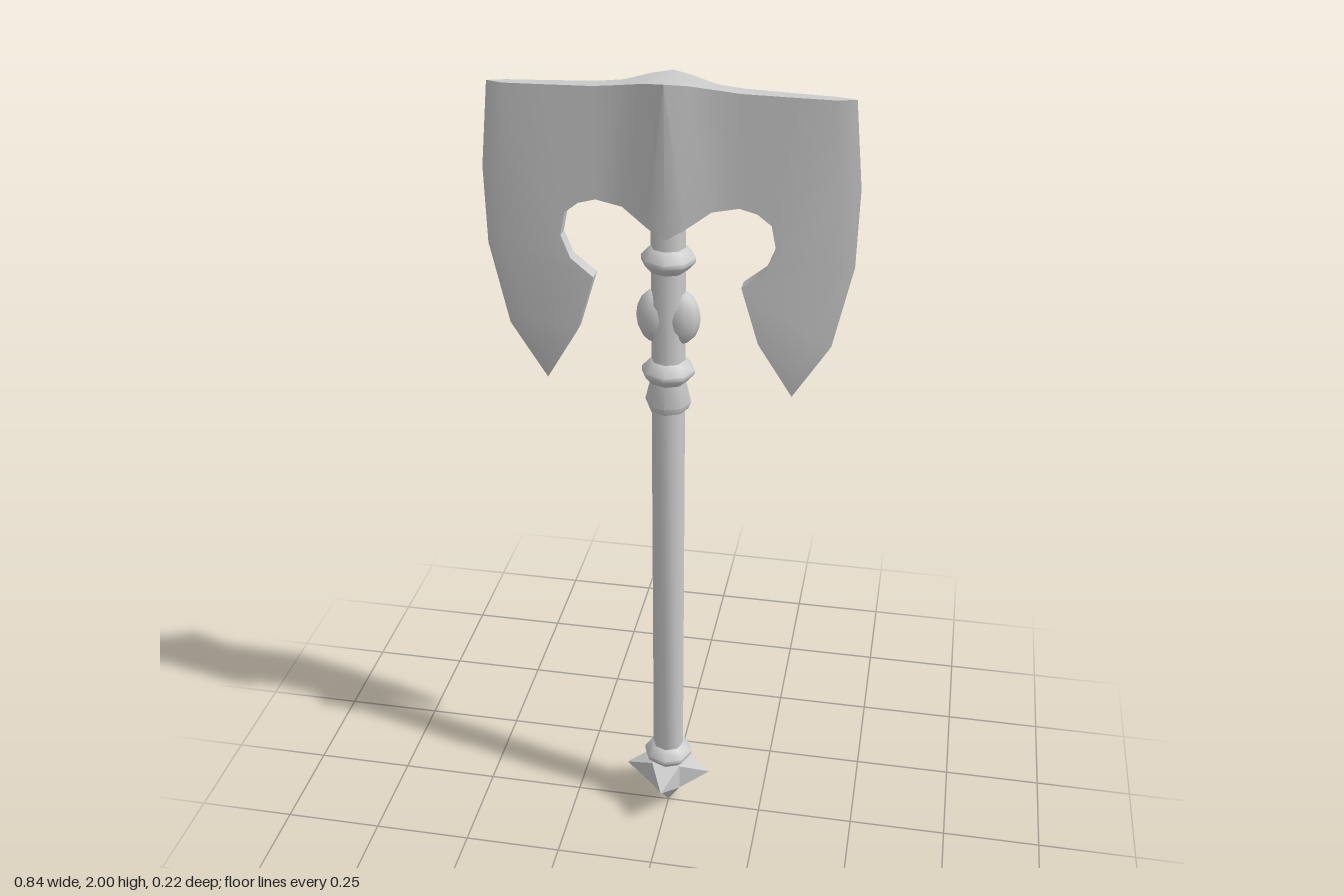
import * as THREE from 'three';
import { toCreasedNormals } from 'three/addons/utils/BufferGeometryUtils.js';

const material = new THREE.MeshStandardMaterial({ color: 0xcccccc });
const spikeMaterial = new THREE.MeshStandardMaterial({ color: 0xcccccc, flatShading: true });

function part(name, geometry, mat = material) {
  const mesh = new THREE.Mesh(geometry, mat);
  mesh.name = name;
  return mesh;
}

// Eight-sided turned part from [radius, height] pairs, bottom to top
function turned(name, profile) {
  const points = profile.map(([r, y]) => new THREE.Vector2(r, y));
  return part(name, toCreasedNormals(new THREE.LatheGeometry(points, 8), 0.9));
}

// Half thickness of the blade: thick central ridge, thin wings, pointed tips
function halfThickness(x, y) {
  const { lerp } = THREE.MathUtils;
  if (y < 1.3) return 0;
  if (x < 0.1) return lerp(lerp(0.044, 0.058, (y - 1.65) / 0.35), 0.022, x / 0.1);
  return lerp(0.022, 0.013, Math.min(1, (x - 0.1) / 0.26));
}

function bladeGeometry() {
  // Stations from the ridge round to the tip: [outer point, inner point]
  const rows = [
    [[0, 2], [0, 1.65]],
    [[0.045, 1.995], [0.04, 1.672]],
    [[0.1, 1.984], [0.1, 1.714]],
    [[0.16, 1.978], [0.16, 1.726]],
    [[0.27, 1.975], [0.2, 1.715]],
    [[0.36, 1.973], [0.232, 1.69]],
    [[0.375, 1.78], [0.243, 1.636]],
    [[0.372, 1.6], [0.222, 1.583]],
    [[0.335, 1.43], [0.169, 1.54]],
    [[0.31, 1.35], [0.21, 1.405]],
    [[0.29, 1.27], [0.29, 1.27]],
  ];
  // Sharpened edge, beside the outer points from the upper corner on
  const corner = 5;
  const edge = [[0.4, 1.973], [0.42, 1.78], [0.417, 1.6], [0.375, 1.405], [0.34, 1.349], [0.29, 1.27]];

  const front = ([x, y]) => [x, y, halfThickness(x, y)];
  const middle = ([x, y]) => [x, y, 0];
  const triangles = [];
  const quad = (a, b, c, d) => triangles.push([a, b, c], [a, c, d]);

  for (let i = 0; i < rows.length - 1; i++) {
    const [o0, i0] = rows[i];
    const [o1, i1] = rows[i + 1];
    quad(front(o0), front(i0), front(i1), front(o1)); // flat of the blade
    quad(front(i1), front(i0), middle(i0), middle(i1)); // inner rim
    if (i < corner) {
      quad(front(o0), front(o1), middle(o1), middle(o0)); // top rim
    } else {
      const e0 = edge[i - corner], e1 = edge[i - corner + 1];
      quad(middle(e0), front(o0), front(o1), middle(e1)); // bevel
    }
  }
  triangles.push([front(rows[corner][0]), middle(edge[0]), middle(rows[corner][0])]);

  // Mirror the quarter left to right and front to back
  const positions = [];
  for (const sx of [1, -1]) {
    for (const sz of [1, -1]) {
      for (const [a, b, c] of triangles) {
        for (const p of sx * sz > 0 ? [a, b, c] : [a, c, b]) {
          positions.push(p[0] * sx, p[1], p[2] * sz);
        }
      }
    }
  }
  const geometry = new THREE.BufferGeometry();
  geometry.setAttribute('position', new THREE.Float32BufferAttribute(positions, 3));
  return toCreasedNormals(geometry, 0.55);
}

function createPommel() {
  const group = new THREE.Group();
  group.name = 'pommel';
  const half = 0.037, y = 0.115;
  const core = part('pommelCore', new THREE.BoxGeometry(2 * half, 2 * half, 2 * half), spikeMaterial);
  core.position.y = y;
  group.add(core);

  // Square pyramids on the four sides and underneath
  const up = new THREE.Vector3(0, 1, 0);
  for (const [x, dy, z] of [[1, 0, 0], [-1, 0, 0], [0, 0, 1], [0, 0, -1], [0, -1, 0]]) {
    const length = dy ? y - half : 0.075;
    const geometry = new THREE.ConeGeometry(half * Math.SQRT2, length, 4);
    geometry.rotateY(Math.PI / 4);
    const spike = part('pommelSpike', geometry, spikeMaterial);
    const direction = new THREE.Vector3(x, dy, z);
    spike.quaternion.setFromUnitVectors(up, direction);
    spike.position.copy(direction).multiplyScalar(half + length / 2);
    spike.position.y += y;
    group.add(spike);
  }
  return group;
}

export function createModel() {
  const model = new THREE.Group();
  model.name = 'doubleAxe';

  model.add(part('blade', bladeGeometry()));
  model.add(turned('shaft', [[0.04, 0.14], [0.04, 1.72]]));

  // Rings and collar round the shaft
  for (const [name, y] of [['lowerRing', 0.176], ['middleRing', 1.314], ['upperRing', 1.592]]) {
    model.add(turned(name, [
      [0.038, y - 0.03], [0.046, y - 0.024], [0.063, y - 0.005],
      [0.063, y + 0.005], [0.046, y + 0.024], [0.038, y + 0.03],
    ]));
  }
  model.add(turned('collar', [
    [0.036, 1.215], [0.048, 1.217], [0.055, 1.235], [0.043, 1.285], [0.043, 1.3],
  ]));

  // Rounded knobs on both sides of the shaft
  for (const side of [1, -1]) {
    const knob = part('sideKnob', new THREE.SphereGeometry(1, 10, 8));
    knob.scale.set(0.045, 0.065, 0.036);
    knob.position.set(side * 0.03, 1.45, 0);
    model.add(knob);
  }

  model.add(createPommel());
  return model;
}
